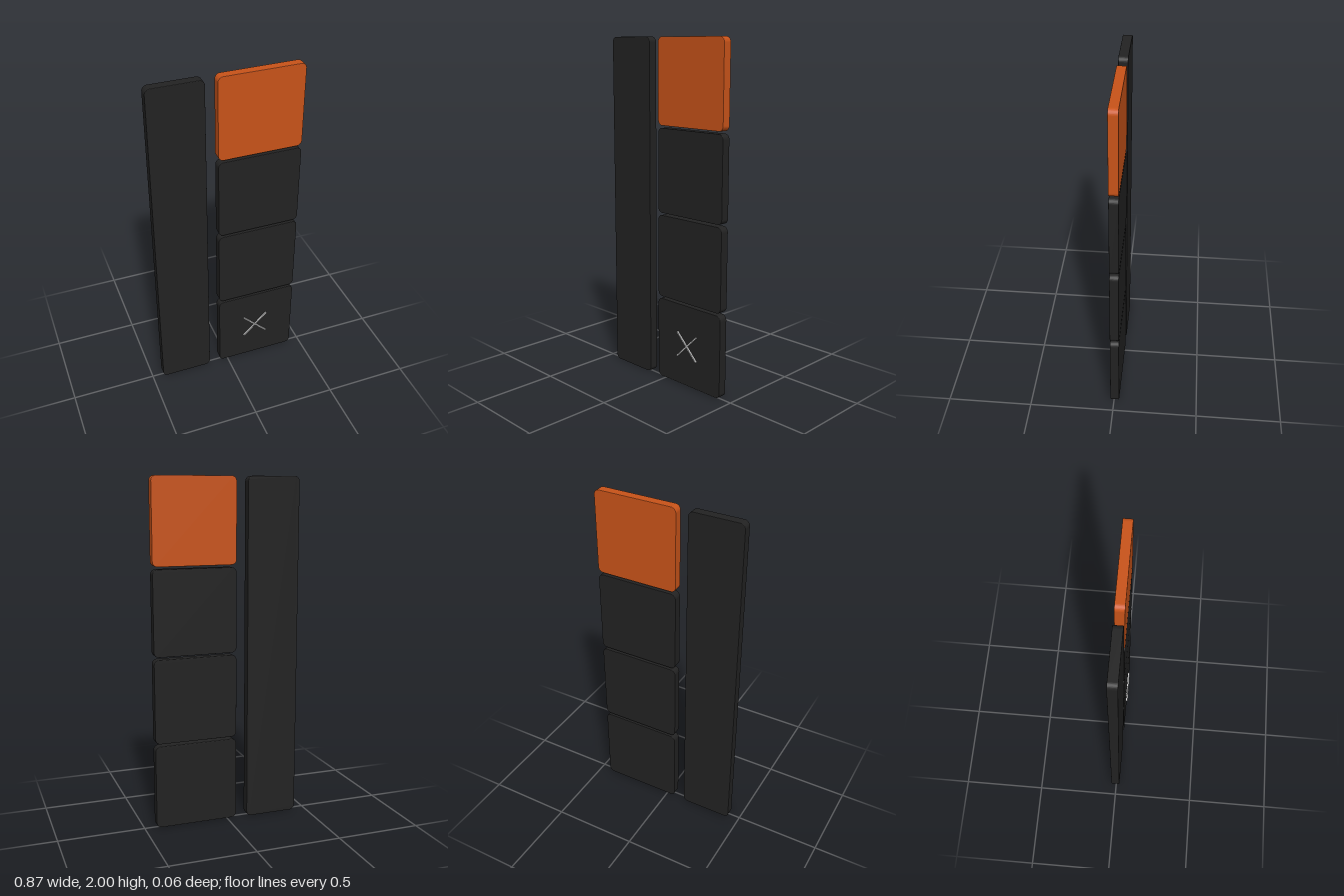
import * as THREE from 'three';

const BACK = -0.031, FRONT = 0.021, RADIUS = 0.03, BEVEL = 0.002;

// Rounded rectangle outline centred on the origin
function roundedRect(w, h, r) {
  const x = w / 2, y = h / 2, s = new THREE.Shape();
  s.moveTo(-x + r, -y);
  s.lineTo(x - r, -y);
  s.absarc(x - r, -y + r, r, -Math.PI / 2, 0);
  s.lineTo(x, y - r);
  s.absarc(x - r, y - r, r, 0, Math.PI / 2);
  s.lineTo(-x + r, y);
  s.absarc(-x + r, y - r, r, Math.PI / 2, Math.PI);
  s.lineTo(-x, -y + r);
  s.absarc(-x + r, -y + r, r, Math.PI, Math.PI * 1.5);
  return s;
}

// Flat slab with rounded corners and a very fine edge bevel
function panel(name, x, y, w, h, material) {
  const shape = roundedRect(w - 2 * BEVEL, h - 2 * BEVEL, RADIUS - BEVEL);
  const geometry = new THREE.ExtrudeGeometry(shape, {
    depth: FRONT - BACK - 2 * BEVEL, curveSegments: 8,
    bevelSize: BEVEL, bevelThickness: BEVEL, bevelSegments: 2,
  });
  const mesh = new THREE.Mesh(geometry, material);
  mesh.name = name;
  mesh.position.set(x, y, BACK + BEVEL);
  return mesh;
}

export function createModel() {
  const model = new THREE.Group();
  model.name = 'panelSet';
  const black = new THREE.MeshStandardMaterial({ color: 0x222222 });
  const orange = new THREE.MeshStandardMaterial({ color: 0xc85319 });
  const grey = new THREE.MeshStandardMaterial({ color: 0xcccccc });

  // Tall side panel
  model.add(panel('tallPanel', -0.278, 1, 0.312, 2, black));

  // Column of four square panels, the top one coloured
  const size = 0.488, pitch = 0.502, columnX = 0.19;
  for (let i = 0; i < 4; i++) {
    const y = 2 - size / 2 - (3 - i) * pitch;
    model.add(panel(i === 3 ? 'topSquare' : `square${i + 1}`, columnX, y, size, size, i === 3 ? orange : black));
  }

  // Thin raised cross on the lowest square
  const cross = new THREE.Group();
  cross.name = 'cross';
  cross.position.set(0.183, 0.25, FRONT + 0.004);
  for (const side of [-1, 1]) {
    const bar = new THREE.Mesh(new THREE.BoxGeometry(0.212, 0.008, 0.012), grey);
    bar.name = 'crossBar';
    bar.rotation.z = side * Math.PI / 4;
    cross.add(bar);
  }
  model.add(cross);
  return model;
}
